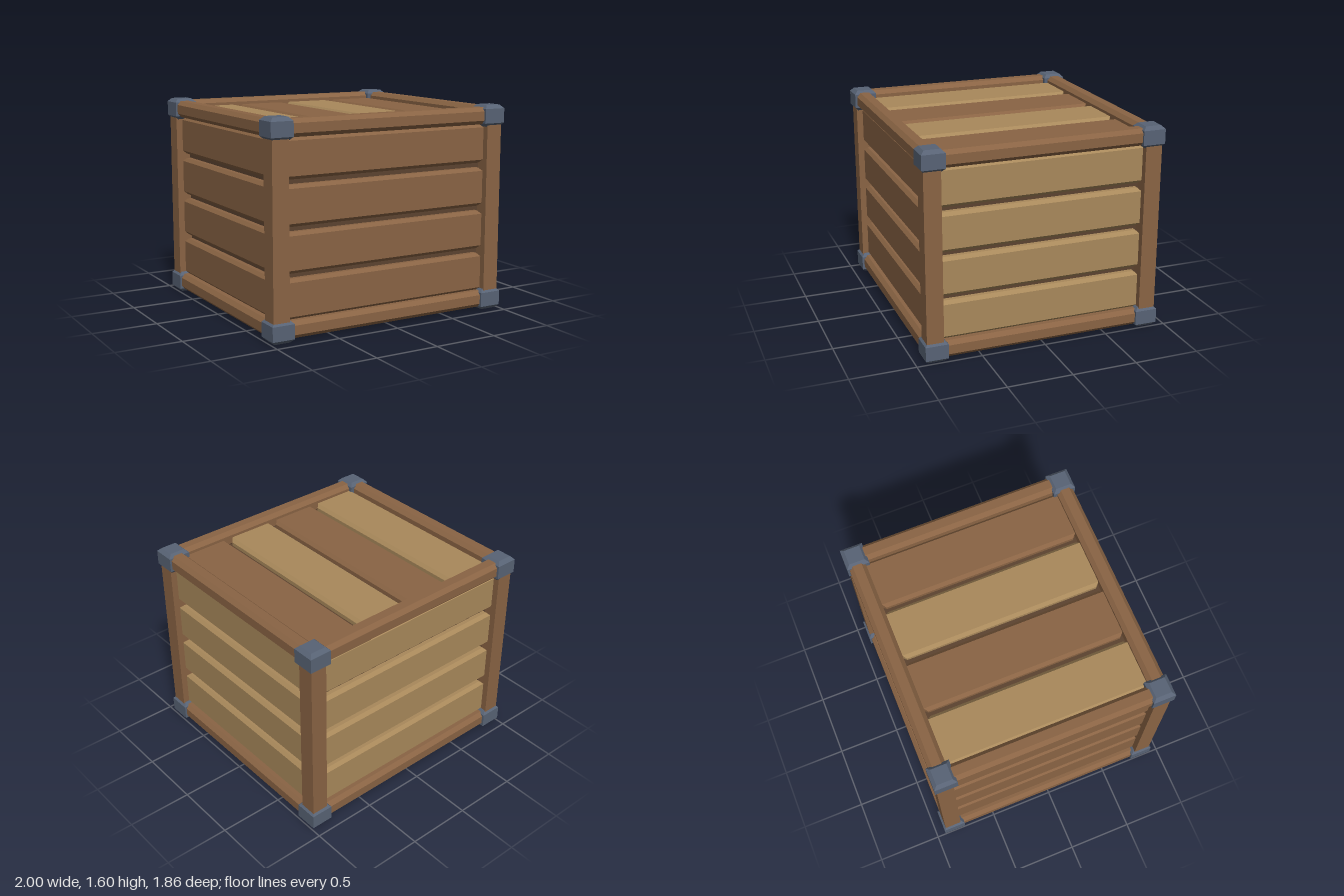
import * as THREE from 'three';

// Box whose two y ends are chamfered on all four sides
function bevelBox(w, h, d, b) {
  const g = new THREE.BoxGeometry(w, h, d, 1, 3, 1);
  const p = g.attributes.position;
  for (let i = 0; i < p.count; i++) {
    const y = p.getY(i);
    if (Math.abs(y) > h / 3) {
      p.setX(i, Math.sign(p.getX(i)) * (w / 2 - b));
      p.setZ(i, Math.sign(p.getZ(i)) * (d / 2 - b));
    } else {
      p.setY(i, Math.sign(y) * (h / 2 - b));
    }
  }
  const flat = g.toNonIndexed();
  flat.computeVertexNormals();
  return flat;
}

export function createModel() {
  const wood = new THREE.MeshStandardMaterial({ color: 0x8a6444 });
  wood.name = 'brownWood';
  const paleWood = new THREE.MeshStandardMaterial({ color: 0xa9895b });
  paleWood.name = 'paleWood';
  const darkWood = new THREE.MeshStandardMaterial({ color: 0x5c4330 });
  darkWood.name = 'darkWood';
  const metal = new THREE.MeshStandardMaterial({ color: 0x586375 });
  metal.name = 'blueMetal';

  const crate = new THREE.Group();
  crate.name = 'crate';
  function add(name, geometry, material, x, y, z) {
    const mesh = new THREE.Mesh(geometry, material);
    mesh.name = name;
    mesh.position.set(x, y, z);
    crate.add(mesh);
  }

  // Dark inner box seen through the gaps and from below
  add('core', new THREE.BoxGeometry(1.75, 1.38, 1.62), darkWood, 0, 0.79, 0);

  // Corner posts and metal corner caps
  const post = new THREE.BoxGeometry(0.13, 1.4, 0.13);
  const cap = bevelBox(0.176, 0.165, 0.176, 0.027);
  for (const sx of [-1, 1]) {
    for (const sz of [-1, 1]) {
      add('post', post, wood, sx * 0.92, 0.8, sz * 0.852);
      for (const y of [0.0825, 1.5205]) add('cornerCap', cap, metal, sx * 0.912, y, sz * 0.844);
    }
  }

  // Chamfered rails along the top and bottom edges
  const railX = bevelBox(1.76, 0.13, 0.13, 0.03);
  const railZ = bevelBox(0.13, 0.13, 1.62, 0.03);
  for (const y of [0.085, 1.522]) {
    for (const s of [-1, 1]) {
      add('longRail', railX, wood, 0, y, s * 0.85);
      add('sideRail', railZ, wood, s * 0.92, y, 0);
    }
  }

  // Four horizontal planks on each wall
  const plankX = bevelBox(1.71, 0.3, 0.09, 0.025);
  const plankZ = bevelBox(0.09, 0.3, 1.58, 0.025);
  for (let i = 0; i < 4; i++) {
    const y = 0.295 + i * 0.337;
    add('frontPlank', plankX, wood, 0, y, 0.823);
    add('backPlank', plankX, paleWood, 0, y, -0.823);
    add('leftPlank', plankZ, paleWood, 0.89, y, 0);
    add('rightPlank', plankZ, wood, -0.89, y, 0);
  }

  // Lid planks in alternating woods
  const lidPlank = bevelBox(0.09, 0.4, 1.57, 0.025).rotateZ(Math.PI / 2);
  for (let i = 0; i < 4; i++) {
    add('lidPlank', lidPlank, i % 2 ? wood : paleWood, -0.657 + i * 0.438, 1.49, 0);
  }
  return crate;
}
